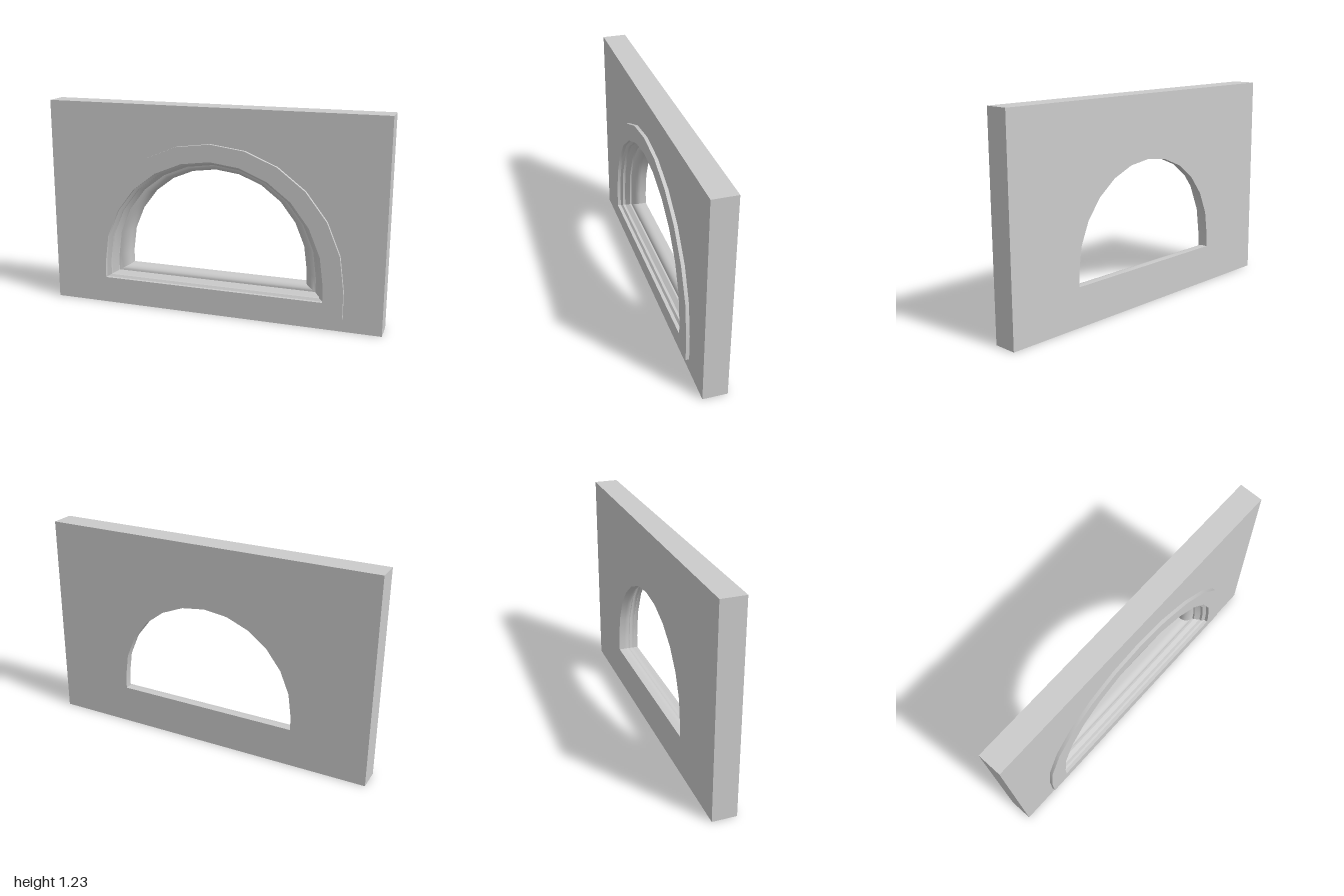
import * as THREE from 'three';
import { toCreasedNormals } from 'three/addons/utils/BufferGeometryUtils.js';

const BACK = -0.08, WALL = 0.06, FACE = 0.08;
const ARC = 12;

// Half-round opening with short straight jambs, counter-clockwise from the front
function archRing(halfWidth, bottom, top) {
  const springing = top - halfWidth;
  const ring = [new THREE.Vector2(-halfWidth, bottom), new THREE.Vector2(halfWidth, bottom)];
  for (let i = 0; i <= ARC; i++) {
    const a = Math.PI * i / ARC;
    ring.push(new THREE.Vector2(halfWidth * Math.cos(a), springing + halfWidth * Math.sin(a)));
  }
  return ring;
}

// Skin a series of closed rings, each { ring, z }
function loft(sections) {
  const positions = [], index = [];
  const n = sections[0].ring.length;
  for (const { ring, z } of sections) for (const p of ring) positions.push(p.x, p.y, z);
  for (let j = 0; j < sections.length - 1; j++) {
    for (let i = 0; i < n; i++) {
      const a = j * n + i, b = j * n + (i + 1) % n;
      index.push(a, b, b + n, a, b + n, a + n);
    }
  }
  const geometry = new THREE.BufferGeometry();
  geometry.setAttribute('position', new THREE.Float32BufferAttribute(positions, 3));
  geometry.setIndex(index);
  return toCreasedNormals(geometry, 0.5);
}

// Flat panel with an arched hole
function panel(outline, hole) {
  const shape = new THREE.Shape(outline);
  shape.holes.push(new THREE.Path(hole));
  return new THREE.ShapeGeometry(shape);
}

export function createModel() {
  const group = new THREE.Group();
  const material = new THREE.MeshStandardMaterial({ color: 0xcccccc });
  const add = (name, geometry, parent = group) => {
    const mesh = new THREE.Mesh(geometry, material);
    mesh.name = name;
    parent.add(mesh);
    return mesh;
  };

  const wallOutline = [[-1, 0], [1, 0], [1, 1.225], [-1, 1.225]].map(([x, y]) => new THREE.Vector2(x, y));
  const outer = archRing(0.78, 0.08, 1.02);
  // Opening narrows from the front edge (s = 0) to the back edge (s = 1)
  const inset = s => archRing(0.665 - 0.12 * s, 0.165 + 0.065 * s, 0.92 - 0.065 * s);

  // Wall: front, back and edges
  const wall = new THREE.Group();
  wall.name = 'wall';
  group.add(wall);
  add('wallFront', panel(wallOutline, outer), wall).position.z = WALL;
  const back = add('wallBack', panel(wallOutline, inset(1)), wall);
  back.rotation.y = Math.PI;
  back.position.z = BACK;
  add('wallEdges', loft([{ ring: wallOutline, z: BACK }, { ring: wallOutline, z: WALL }]), wall);

  // Raised flat surround
  add('surround', loft([
    { ring: outer, z: WALL },
    { ring: outer, z: FACE },
    { ring: inset(0), z: FACE },
  ]));

  // Stepped reveal ending in a quarter round and a flat land
  const profile = [[0, FACE], [0, 0.06], [0.2, 0.05], [0.2, 0.035], [0.45, 0.01]];
  for (let i = 0; i <= 6; i++) {
    const a = Math.PI / 2 * i / 6;
    profile.push([0.45 + 0.55 * Math.sin(a), -0.045 + 0.045 * Math.cos(a)]);
  }
  profile.push([1, BACK]);
  add('moulding', loft(profile.map(([s, z]) => ({ ring: inset(s), z }))));

  return group;
}
